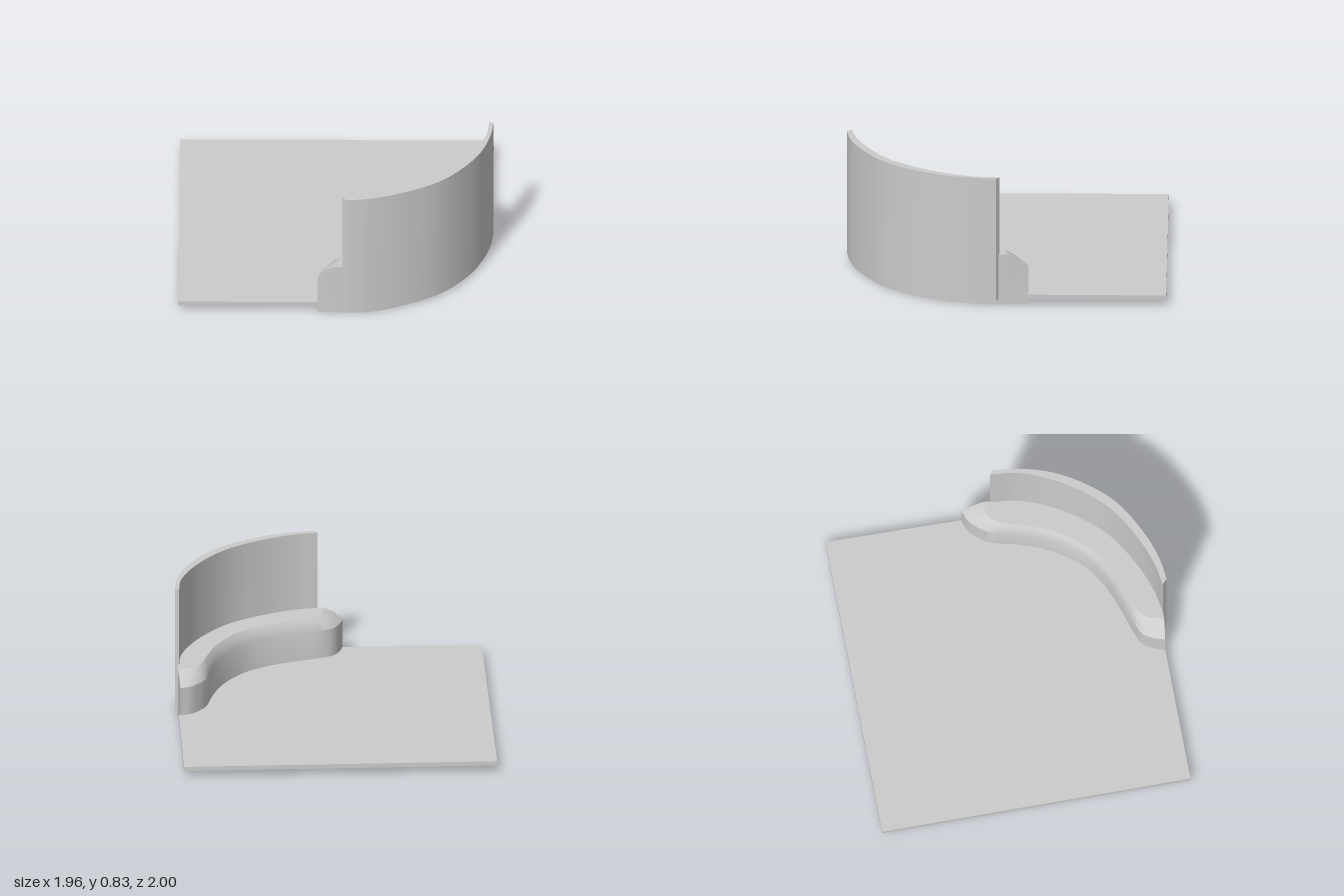
import * as THREE from 'three';
import { toCreasedNormals } from 'three/addons/utils/BufferGeometryUtils.js';

const material = new THREE.MeshStandardMaterial({ color: 0xcccccc });
const STEPS = 40;

// Horizontal guide curve through [x, z] points, running from the front end to the side end.
const rail = (points) =>
  new THREE.CatmullRomCurve3(points.map(([x, z]) => new THREE.Vector3(x, 0, z)), false, 'centripetal');

// Solid whose cross-section corners each follow a rail at a fixed height.
// Corners run: outer bottom, outer top, inner top ... inner bottom.
function sweep(corners, crease) {
  const rings = [];
  for (let i = 0; i <= STEPS; i++) {
    rings.push(corners.map(([curve, y]) => curve.getPoint(i / STEPS).setY(y)));
  }
  const n = corners.length;
  const pos = [];
  const tri = (...pts) => pts.forEach((p) => pos.push(p.x, p.y, p.z));
  for (let i = 0; i < STEPS; i++) {
    for (let j = 0; j < n; j++) {
      const k = (j + 1) % n;
      const a = rings[i][j], b = rings[i + 1][j], c = rings[i + 1][k], d = rings[i][k];
      tri(a, b, c);
      tri(a, c, d);
    }
  }
  // End caps
  const first = rings[0], last = rings[STEPS];
  for (let j = 1; j < n - 1; j++) {
    tri(first[0], first[j], first[j + 1]);
    tri(last[0], last[j + 1], last[j]);
  }
  const geometry = new THREE.BufferGeometry();
  geometry.setAttribute('position', new THREE.Float32BufferAttribute(pos, 3));
  return toCreasedNormals(geometry, crease);
}

export function createModel() {
  const group = new THREE.Group();
  const add = (name, geometry) => {
    const mesh = new THREE.Mesh(geometry, material);
    mesh.name = name;
    group.add(mesh);
  };

  // Curved wall
  const wallOuter = rail([[0.075, 0.997], [0.21, 0.98], [0.4, 0.915], [0.64, 0.775],
    [0.79, 0.61], [0.905, 0.41], [0.965, 0.2], [0.98, 0.06]]);
  const wallInner = rail([[0.045, 0.968], [0.19, 0.94], [0.37, 0.873], [0.6, 0.735],
    [0.745, 0.58], [0.855, 0.41], [0.935, 0.21], [0.955, 0.04]]);
  add('curvedWall', sweep([[wallOuter, 0.03], [wallOuter, 0.835], [wallInner, 0.835], [wallInner, 0.03]], 0.5));

  // Ledge behind the wall, flared at both ends, with a bevelled top edge
  const foot = [[-0.11, 0.955], [-0.09, 0.89], [-0.045, 0.82], [0.03, 0.785], [0.2, 0.73], [0.36, 0.667],
    [0.5, 0.58], [0.6, 0.47], [0.68, 0.34], [0.74, 0.18], [0.79, 0], [0.84, -0.07], [0.89, -0.115], [0.955, -0.14]];
  const crest = [[0, 0.968], [0.01, 0.925], [0.03, 0.865], [0.08, 0.815], [0.22, 0.758], [0.39, 0.69],
    [0.53, 0.605], [0.63, 0.493], [0.715, 0.355], [0.772, 0.2], [0.82, 0.06], [0.865, 0.012], [0.91, 0], [0.965, -0.01]];
  const middle = foot.map(([x, z], i) => [x + (crest[i][0] - x) * 0.45, z + (crest[i][1] - z) * 0.45]);
  const ledgeOuter = rail([[0.05, 0.97], [0.2, 0.963], [0.39, 0.897], [0.625, 0.76],
    [0.775, 0.6], [0.885, 0.41], [0.945, 0.2], [0.96, 0.05]]);
  const footRail = rail(foot);
  add('ledge', sweep([[ledgeOuter, 0], [ledgeOuter, 0.33], [rail(crest), 0.33],
    [rail(middle), 0.3], [footRail, 0.25], [footRail, 0]], 0.4));

  // Floor slab, its front corner cut to tuck just inside the ledge
  const outline = [[-0.98, -1], [0.975, -1], [0.965, -0.13]].map(([x, z]) => new THREE.Vector2(x, z));
  for (let i = STEPS - 1; i > 0; i--) {
    const p = footRail.getPoint(i / STEPS).lerp(ledgeOuter.getPoint(i / STEPS), 0.12);
    outline.push(new THREE.Vector2(p.x, p.z));
  }
  outline.push(new THREE.Vector2(-0.1, 0.955), new THREE.Vector2(-0.98, 0.955));
  const floor = new THREE.ExtrudeGeometry(new THREE.Shape(outline), { depth: 0.028, bevelEnabled: false });
  floor.rotateX(Math.PI / 2).translate(0, 0.066, 0);
  add('floor', floor);

  return group;
}
